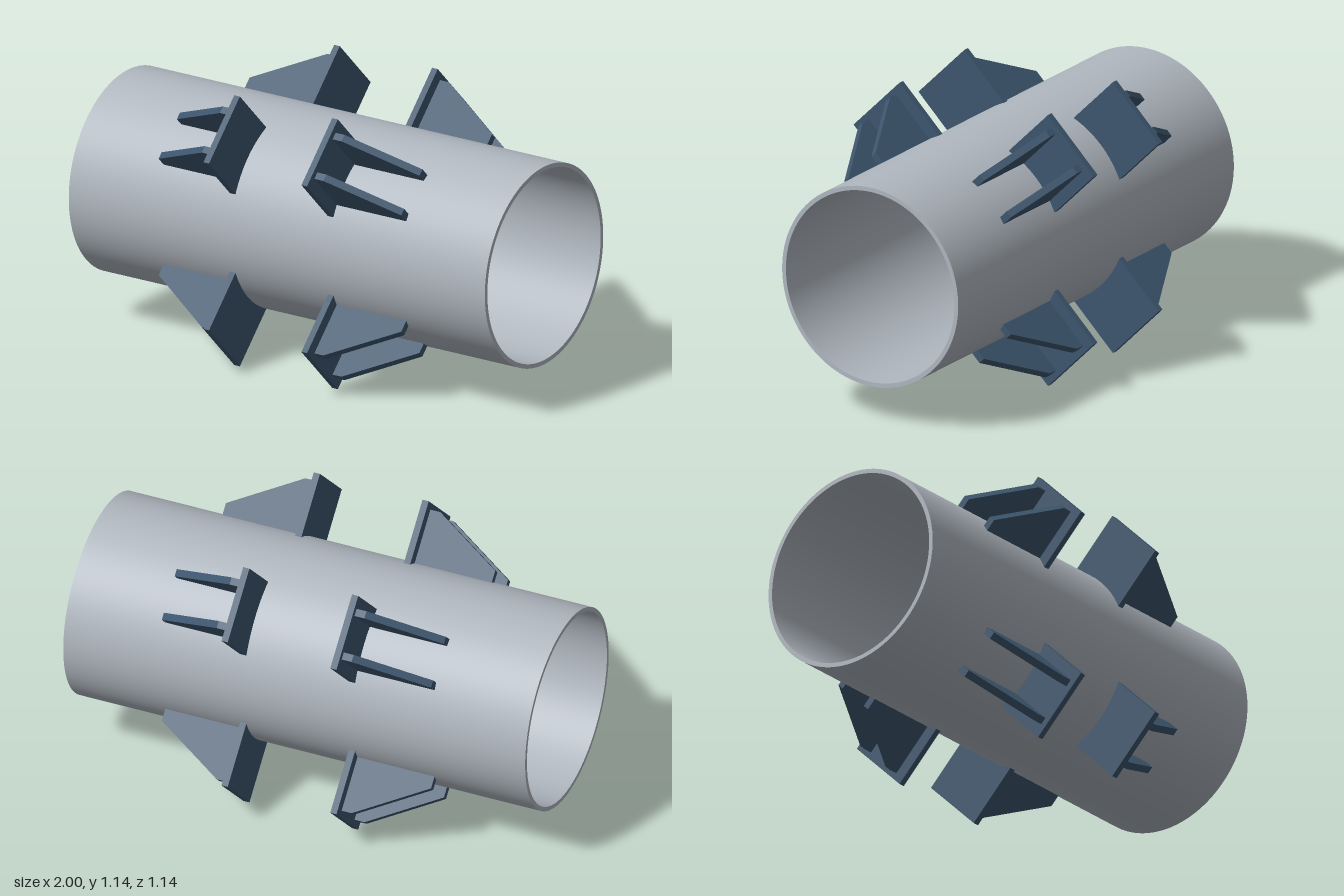
import * as THREE from 'three';
import { toCreasedNormals } from 'three/addons/utils/BufferGeometryUtils.js';

const AXIS_Y = 0.573;          // height of the pipe axis
const R_OUT = 0.418, R_IN = 0.4;

const grey = new THREE.MeshStandardMaterial({ color: 0xb0b7bf });
const blue = new THREE.MeshStandardMaterial({ color: 0x3d566e });

// Extrude a shape, centred on its depth
function slab(shape, depth, curveSegments = 12) {
  const g = new THREE.ExtrudeGeometry(shape, { depth, curveSegments, bevelEnabled: false });
  return g.translate(0, 0, -depth / 2);
}

// Hollow pipe along x
function createPipe() {
  const ring = new THREE.Shape().absarc(0, 0, R_OUT, 0, Math.PI * 2, false);
  ring.holes.push(new THREE.Path().absarc(0, 0, R_IN, 0, Math.PI * 2, true));
  const g = toCreasedNormals(slab(ring, 2, 96).rotateY(Math.PI / 2), 0.5);
  const pipe = new THREE.Mesh(g, grey);
  pipe.name = 'pipe';
  return pipe;
}

// Square plate whose inner edge is cut to the pipe's curve
function createPlateGeometry() {
  const w = 0.154, top = 0.653;
  const a = Math.asin(w / R_OUT);
  const s = new THREE.Shape();
  s.absarc(0, 0, R_OUT, Math.PI / 2 + a, Math.PI / 2 - a, true);
  s.lineTo(w, top);
  s.lineTo(-w, top);
  s.closePath();
  return slab(s, 0.027, 16).rotateY(Math.PI / 2).translate(0.2355, 0, 0);
}

// Tapered stiffener: x runs along the pipe, y away from its axis
function createGussetGeometry() {
  const points = [[0.249, 0.397], [0.583, 0.397], [0.583, 0.454], [0.292, 0.628], [0.249, 0.628]];
  return slab(new THREE.Shape(points.map(([x, y]) => new THREE.Vector2(x, y))), 0.03);
}

export function createModel() {
  const model = new THREE.Group();
  model.name = 'pipeWithBrackets';

  const body = new THREE.Group();
  body.name = 'body';
  body.position.y = AXIS_Y;
  body.add(createPipe());
  model.add(body);

  const plateGeometry = createPlateGeometry();
  const gussetGeometry = createGussetGeometry();

  // Four brackets around the pipe, mirrored to both ends
  for (let i = 0; i < 4; i++) {
    for (const turn of [0, Math.PI]) {
      const bracket = new THREE.Group();
      bracket.name = 'bracket';
      const plate = new THREE.Mesh(plateGeometry, blue);
      plate.name = 'plate';
      bracket.add(plate);
      for (const side of [-1, 1]) {
        const gusset = new THREE.Mesh(gussetGeometry, blue);
        gusset.name = 'gusset';
        gusset.position.z = side * 0.091;
        bracket.add(gusset);
      }
      bracket.rotation.set(Math.PI / 4 + i * Math.PI / 2, turn, 0);
      body.add(bracket);
    }
  }
  return model;
}
